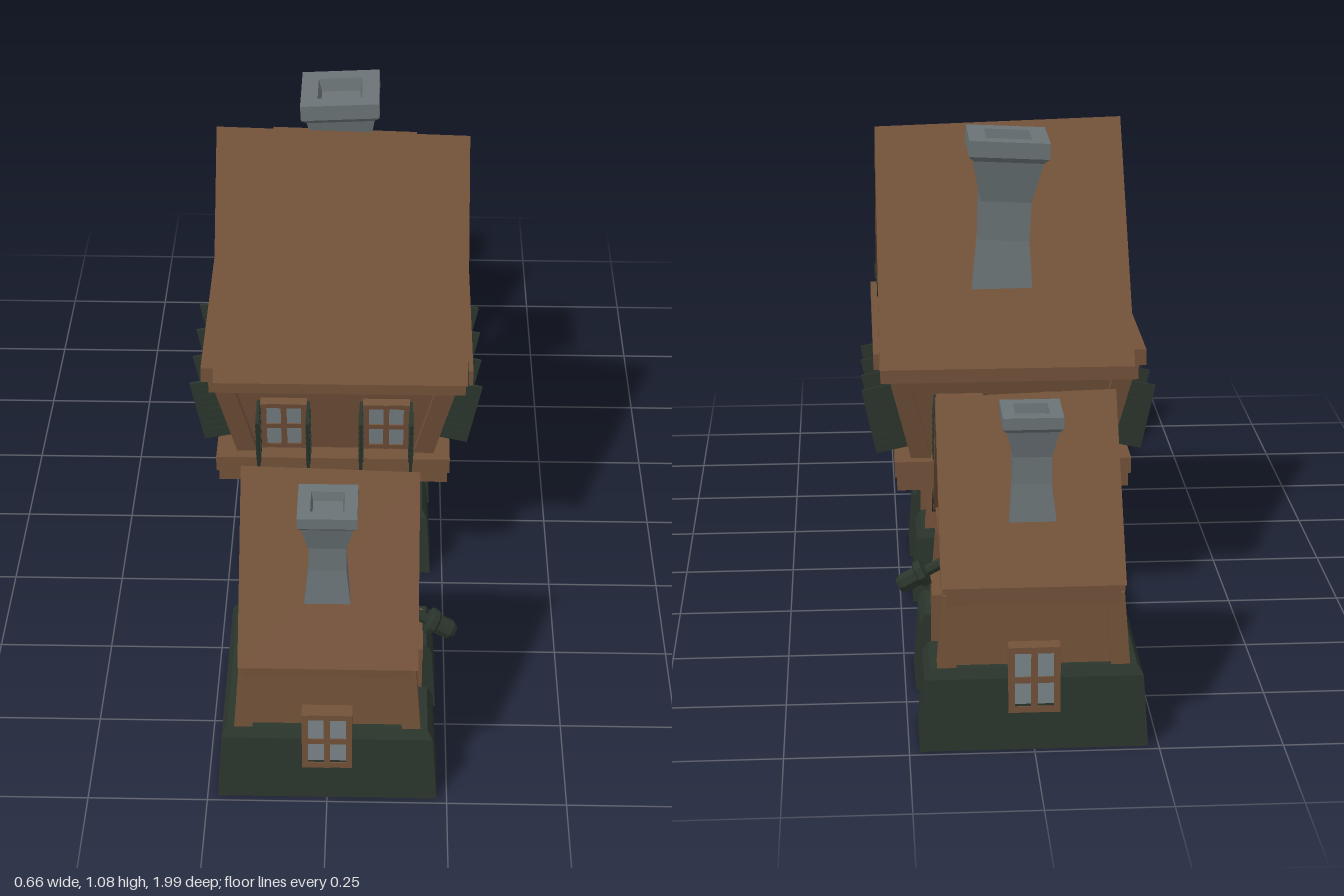
import * as THREE from 'three';

const mat = (name, color) => Object.assign(new THREE.MeshStandardMaterial({ color, side: THREE.DoubleSide }), { name });

export function createModel() {
  const wood = mat('brown timber', 0x725139);
  const green = mat('dark green', 0x2a352c);
  const stone = mat('grey stone', 0x6a7376);
  const glass = mat('window glass', 0x7a8488);

  const add = (parent, name, geo, material, x = 0, y = 0, z = 0) => {
    const m = new THREE.Mesh(geo, material);
    m.name = name;
    m.position.set(x, y, z);
    parent.add(m);
    return m;
  };
  const group = (parent, name, x = 0, y = 0, z = 0) => {
    const g = new THREE.Group();
    g.name = name;
    g.position.set(x, y, z);
    parent.add(g);
    return g;
  };
  const box = (w, h, d) => new THREE.BoxGeometry(w, h, d);
  const flat = (geo) => {
    const g = geo.toNonIndexed();
    g.computeVertexNormals();
    return g;
  };

  // Box from y0 to y1 whose ends have their own size [w, d] and centre [x, z]
  function taper(y0, y1, s0, s1, c0 = [0, 0], c1 = [0, 0]) {
    const g = box(1, 1, 1), p = g.attributes.position;
    for (let i = 0; i < p.count; i++) {
      const top = p.getY(i) > 0, s = top ? s1 : s0, c = top ? c1 : c0;
      p.setXYZ(i, p.getX(i) * s[0] + c[0], top ? y1 : y0, p.getZ(i) * s[1] + c[1]);
    }
    return flat(g);
  }

  // Open shell through rings of [x, y, z] points
  function loft(rings) {
    const v = [];
    for (let k = 0; k + 1 < rings.length; k++) {
      const lo = rings[k], hi = rings[k + 1];
      lo.forEach((a, i) => {
        const j = (i + 1) % lo.length;
        v.push(...a, ...hi[i], ...hi[j], ...a, ...hi[j], ...lo[j]);
      });
    }
    const g = new THREE.BufferGeometry();
    g.setAttribute('position', new THREE.Float32BufferAttribute(v, 3));
    g.computeVertexNormals();
    return g;
  }
  const rect = (hx, hz, y, cx = 0, cz = 0) =>
    [[-1, -1], [1, -1], [1, 1], [-1, 1]].map(([a, b]) => [cx + a * hx, y, cz + b * hz]);

  // Hollow footing with a doorway notch on +x, drawn in towards the walls
  function footing(hx, hz) {
    const n = 0.07, xi = 0.185;
    return loft([[1, 0], [0.955, 0.15], [0.905, 0.17], [0.8, 0.171]].map(([k, y]) => {
      const x = Math.max(hx * k, xi + 0.001), z = hz * k;
      return [[-hx * k, -z], [x, -z], [x, -n], [xi, -n], [xi, n], [x, n], [x, z], [-hx * k, z]]
        .map(([px, pz]) => [px, y, pz]);
    }));
  }

  // Outline given as [z, y], extruded across x
  function acrossX(points, x0, x1) {
    const s = new THREE.Shape(points.map(([z, y]) => new THREE.Vector2(-z, y)));
    const g = new THREE.ExtrudeGeometry(s, { depth: x1 - x0, bevelEnabled: false });
    return g.rotateY(Math.PI / 2).translate(x0, 0, 0);
  }

  // Four-pane window facing +z, optional open shutters
  function makeWindow(parent, x, y, z, depth, shutters) {
    const g = group(parent, 'window', x, y, z);
    const w = 0.104, h = 0.14, b = 0.013;
    for (const s of [-1, 0, 1]) {
      add(g, 'windowUpright', box(b, h, depth), wood, s * (w - b) / 2, 0, 0);
      add(g, 'windowRail', box(w, b, depth - 0.002), wood, 0, s * (h - b) / 2, 0);
    }
    add(g, 'windowPanes', box(w - b, h - b, 0.006), glass, 0, 0, depth / 2 - 0.007);
    if (shutters) for (const s of [-1, 1]) {
      const sh = group(g, 'shutter', s * 0.056, 0, 0.045);
      add(sh, 'shutterPanel', box(0.007, 0.152, 0.074), green);
      for (let i = -3; i <= 3; i++) add(sh, 'shutterSlat', box(0.011, 0.006, 0.046), green, 0, i * 0.018, 0);
    }
    return g;
  }

  // Square hollow chimney, k scales the widths
  function makeChimney(parent, x, z, y0, y1, k) {
    const h = y1 - y0;
    const prof = [[0.047, 0], [0.038, h * 0.35], [0.038, h * 0.6], [0.052, h - 0.032 * k], [0.06, h - 0.024 * k],
      [0.06, h], [0.034, h], [0.03, h - 0.02 * k], [0, h - 0.02 * k]]
      .map(([r, y]) => new THREE.Vector2(r * k * Math.SQRT2, y));
    const g = flat(new THREE.LatheGeometry(prof, 4).rotateY(Math.PI / 4));
    return add(parent, 'chimney', g, stone, x, y0, z);
  }

  // Gabled roof with a slightly sloping ridge across x and recessed gable ends
  function makeRoof(parent, x0, x1, ridge, front, back, t) {
    const [rz, ry] = ridge, drop = t * 1.7, inset = t * 1.25;
    const slab = acrossX([front, ridge, back, [back[0] + inset, back[1]],
      [rz, ry - drop], [front[0] - inset, front[1]]], x0, x1);
    const p = slab.attributes.position;
    for (let i = 0; i < p.count; i++)
      if (p.getY(i) > ry - 0.1) p.setY(i, p.getY(i) - 0.03 * p.getX(i));
    slab.computeVertexNormals();
    add(parent, 'roof', slab, wood);
    add(parent, 'gable', acrossX([[front[0] - t, front[1] + 0.003], [rz, ry - drop + 0.014],
      [back[0] + t, back[1] + 0.003]], x0 + 0.025, x1 - 0.025), wood);
  }

  // Dark chip let into the roof edge, f of the way from eave to ridge
  function roofChip(parent, x, ridge, eave, f, t) {
    const dz = ridge[0] - eave[0], dy = ridge[1] - eave[1];
    const chip = add(parent, 'roofChip', box(0.008, t * 0.8, 0.05), green, x,
      eave[1] + f * dy - t * 0.5, eave[0] + f * dz + Math.sign(dz) * t * 0.25);
    chip.rotation.x = -Math.atan2(dy, dz);
  }

  // Four leaning posts at wall corners
  function cornerPosts(parent, y0, y1, a, b, w) {
    for (const sx of [-1, 1]) for (const sz of [-1, 1])
      add(parent, 'cornerPost', taper(y0, y1, [w, w], [w, w], [sx * a[0], sz * a[1]], [sx * b[0], sz * b[1]]), wood);
  }

  function makeDoor(parent) {
    const g = group(parent, 'door');
    add(g, 'doorPanel', box(0.012, 0.255, 0.11), wood, 0.184, 0.1285, 0);
    for (const s of [-1, 1]) add(g, 'doorPost', box(0.02, 0.255, 0.016), wood, 0.186, 0.1285, s * 0.061);
    add(g, 'doorLintel', box(0.034, 0.022, 0.138), wood, 0.18, 0.259, 0);
  }

  // Footing, lower walls, door and end windows shared by all houses
  function groundFloor(parent, hx, hz, top) {
    add(parent, 'footing', footing(hx, hz), green);
    add(parent, 'lowerWalls', loft([rect(0.178, hz * 0.85, 0.15), rect(0.168, hz * 0.81, top)]), wood);
    cornerPosts(parent, 0.15, top, [0.175, hz - 0.04], [0.162, hz - 0.05], 0.038);
    makeDoor(parent);
    for (const s of [-1, 1]) {
      const side = group(parent, 'endWall');
      if (s < 0) side.rotation.y = Math.PI;
      makeWindow(side, 0, 0.148, hz - 0.025, 0.045, false);
    }
  }

  const root = new THREE.Group();
  root.name = 'houses';

  // Two small end houses, mirrored about the middle
  for (const s of [1, -1]) {
    const h = group(root, 'smallHouse', 0, 0, s * 0.76);
    groundFloor(h, 0.229, 0.226, 0.32);
    add(h, 'lowerBeam', box(0.345, 0.03, 0.4), wood, 0, 0.316, 0);
    add(h, 'upperBeam', box(0.36, 0.03, 0.425), wood, 0, 0.345, 0);
    const ridge = [-s * 0.01, 0.672];
    makeRoof(h, -0.18, 0.185, ridge, [0.237, 0.352], [-0.237, 0.352], 0.026);
    roofChip(h, 0.183, ridge, [-s * 0.237, 0.352], 0.1, 0.026);
    makeChimney(h, 0, s * 0.115, 0.46, 0.68, 1);
    // Lamp above the door
    const lamp = group(h, 'lamp', 0.205, 0.297, 0);
    lamp.rotation.z = -Math.PI / 2 - 0.5;
    const prof = [[0, -0.035], [0.012, -0.035], [0.012, 0], [0.029, 0.005], [0.029, 0.018], [0.021, 0.024],
      [0.021, 0.056], [0.014, 0.066], [0, 0.066]].map(([r, y]) => new THREE.Vector2(r, y));
    add(lamp, 'lampBody', flat(new THREE.LatheGeometry(prof, 8)), green);
  }

  // Tall middle house
  const main = group(root, 'mainHouse');
  groundFloor(main, 0.222, 0.212, 0.29);
  add(main, 'floorBeamLower', box(0.52, 0.036, 0.48), wood, -0.005, 0.3, 0);
  add(main, 'floorBeamUpper', box(0.53, 0.036, 0.51), wood, -0.005, 0.336, 0);
  add(main, 'upperWalls', taper(0.35, 0.56, [0.42, 0.42], [0.51, 0.51]), wood);
  cornerPosts(main, 0.35, 0.56, [0.2, 0.205], [0.25, 0.25], 0.045);
  add(main, 'eaveBeamLower', box(0.57, 0.036, 0.57), wood, 0.005, 0.566, 0);
  add(main, 'eaveBeamUpper', box(0.6, 0.036, 0.6), wood, 0.005, 0.603, 0);
  const ridge = [0.025, 1.068], front = [0.354, 0.618], back = [-0.348, 0.598];
  makeRoof(main, -0.265, 0.292, ridge, front, back, 0.036);
  roofChip(main, 0.29, ridge, back, 0.37, 0.036);
  roofChip(main, 0.29, ridge, front, 0.07, 0.036);
  makeChimney(main, 0.02, -0.165, 0.73, 1.079, 1.47).rotation.z = 0.05;
  for (let k = 0; k < 4; k++) {
    const side = group(main, 'upperSide');
    side.rotation.y = k * Math.PI / 2;
    for (const s of [-1, 1]) makeWindow(side, s * 0.115, 0.44, 0.236, 0.03, true).rotation.x = 0.21;
  }

  // Low linking walls with sagging ridged tops
  for (const s of [1, -1]) {
    const link = group(root, 'linkWall');
    add(link, 'linkFooting', loft([rect(0.06, 0.19, 0, -0.12, s * 0.38), rect(0.06, 0.19, 0.15, -0.12, s * 0.38)]), green);
    const outline = new THREE.Shape([[-0.178, 0.145], [-0.064, 0.145], [-0.068, 0.21], [-0.12, 0.31], [-0.175, 0.21]]
      .map(([x, y]) => new THREE.Vector2(x, y)));
    const g = new THREE.ExtrudeGeometry(outline, { depth: 0.42, steps: 6, bevelEnabled: false });
    g.translate(0, 0, s > 0 ? 0.17 : -0.59);
    const p = g.attributes.position;
    for (let i = 0; i < p.count; i++) {
      const t = (0.59 - Math.abs(p.getZ(i))) / 0.42;
      if (p.getY(i) > 0.2) p.setY(i, p.getY(i) - 0.045 * t * t);
    }
    g.computeVertexNormals();
    add(link, 'linkRoof', g, wood);
    const face = group(link, 'linkFace', -0.068, 0, s * 0.355);
    face.rotation.y = Math.PI / 2;
    makeWindow(face, 0, 0.14, 0, 0.03, false).scale.y = 0.9;
  }
  return root;
}
